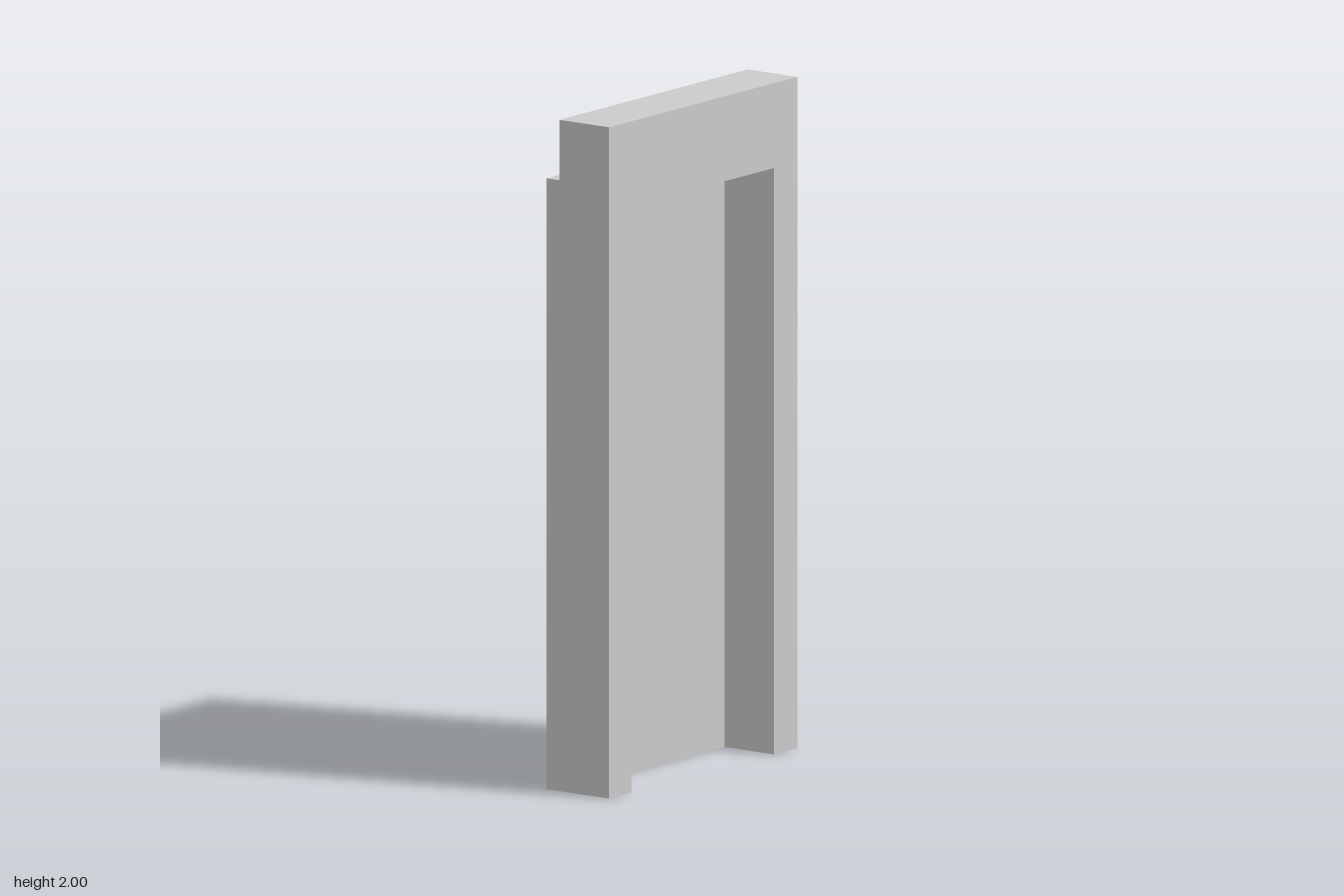
import * as THREE from 'three';

export function createModel() {
  const model = new THREE.Group();
  const material = new THREE.MeshStandardMaterial({ color: 0xcccccc, flatShading: true });

  const add = (name, geometry) => {
    const mesh = new THREE.Mesh(geometry, material);
    mesh.name = name;
    model.add(mesh);
    return mesh;
  };

  const halfWidth = 0.458, height = 2;
  const backX = -0.068, frontX = 0.113;

  // Door frame: two jambs and a lintel as one outline, drawn in (-z, y)
  const outline = new THREE.Shape([
    [-halfWidth, 0], [-0.348, 0], [-0.348, 1.747], [0.345, 1.747],
    [0.345, 0], [halfWidth, 0], [halfWidth, height], [-halfWidth, height],
  ].map(([u, y]) => new THREE.Vector2(u, y)));
  const frame = new THREE.ExtrudeGeometry(outline, { depth: frontX - backX, bevelEnabled: false });
  frame.rotateY(Math.PI / 2).translate(backX, 0, 0);
  add('doorFrame', frame);

  // Door panel: closes the opening, lower than the frame and set in at the rear edge
  const panelX = -0.114, panelHeight = 1.82, panelBackZ = -0.45;
  const panel = add('doorPanel',
    new THREE.BoxGeometry(backX - panelX, panelHeight, halfWidth - panelBackZ));
  panel.position.set((backX + panelX) / 2, panelHeight / 2, (halfWidth + panelBackZ) / 2);

  return model;
}
